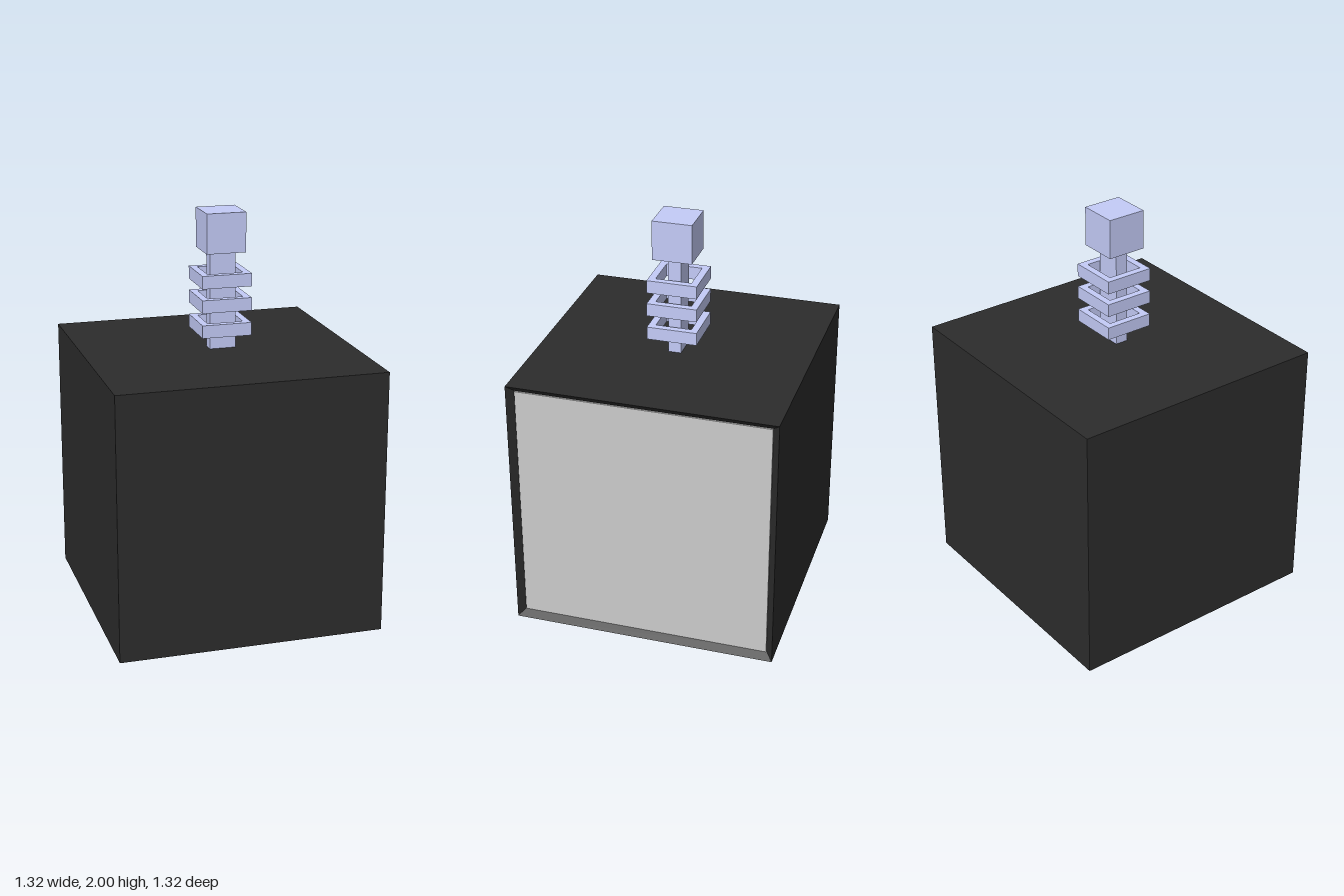
import * as THREE from 'three';

const HALF = 0.658;      // half the width of the main block
const BORDER = 0.035;    // width of the bevelled recess border

const dark = new THREE.MeshStandardMaterial({ color: 0x2c2c2c, flatShading: true });
const grey = new THREE.MeshStandardMaterial({ color: 0xcccccc, flatShading: true });
const lavender = new THREE.MeshStandardMaterial({ color: 0xc4ccf8, flatShading: true });

function addMesh(parent, name, geometry, material, x, y, z) {
  const mesh = new THREE.Mesh(geometry, material);
  mesh.name = name;
  mesh.position.set(x, y, z);
  parent.add(mesh);
  return mesh;
}

// Block lofted along x through square loops, the last one sunk into its +x side
function blockGeometry() {
  const loops = [[-HALF, HALF], [HALF, HALF], [HALF - BORDER, HALF - BORDER]];
  const corners = [[-1, 1], [-1, -1], [1, -1], [1, 1]];
  const points = [], index = [];
  for (const [x, r] of loops)
    for (const [y, z] of corners) points.push(x, y * r, z * r);
  for (let i = 0; i < loops.length - 1; i++) {
    for (let j = 0; j < 4; j++) {
      const a = i * 4 + j, b = i * 4 + (j + 1) % 4;
      index.push(a, b, b + 4, a, b + 4, a + 4);
    }
  }
  const e = (loops.length - 1) * 4;
  index.push(0, 2, 1, 0, 3, 2, e, e + 1, e + 2, e, e + 2, e + 3);
  const indexed = new THREE.BufferGeometry();
  indexed.setAttribute('position', new THREE.Float32BufferAttribute(points, 3));
  indexed.setIndex(index);
  const geometry = indexed.toNonIndexed();
  geometry.computeVertexNormals();
  return geometry;
}

// Square hoop lying flat, centred on its own origin
function ringGeometry(size, height, wall) {
  const square = (path, r) =>
    path.moveTo(-r, -r).lineTo(r, -r).lineTo(r, r).lineTo(-r, r).closePath();
  const shape = square(new THREE.Shape(), size / 2);
  shape.holes.push(square(new THREE.Path(), size / 2 - wall));
  const geometry = new THREE.ExtrudeGeometry(shape, { depth: height, bevelEnabled: false });
  return geometry.translate(0, 0, -height / 2).rotateX(-Math.PI / 2);
}

export function createModel() {
  const model = new THREE.Group();
  model.name = 'blockWithHandle';

  // Main block and the panel set into its left side
  addMesh(model, 'block', blockGeometry(), dark, 0, HALF, 0);
  const inner = 2 * (HALF - BORDER);
  addMesh(model, 'sidePanel', new THREE.BoxGeometry(0.02, inner, inner), grey,
    HALF - 0.036, HALF, 0);

  // Handle: post, three hoops and a cube on top
  const handle = new THREE.Group();
  handle.name = 'handle';
  handle.position.x = 0.028;
  model.add(handle);
  addMesh(handle, 'post', new THREE.BoxGeometry(0.13, 0.51, 0.064), lavender, 0.002, 1.56, 0);
  const ring = ringGeometry(0.248, 0.064, 0.035);
  [1.428, 1.552, 1.672].forEach((y, i) =>
    addMesh(handle, 'ring' + (i + 1), ring, lavender, -0.002, y, -0.001));
  addMesh(handle, 'topCube', new THREE.BoxGeometry(0.196, 0.196, 0.196), lavender, 0, 1.902, 0.004);

  return model;
}
